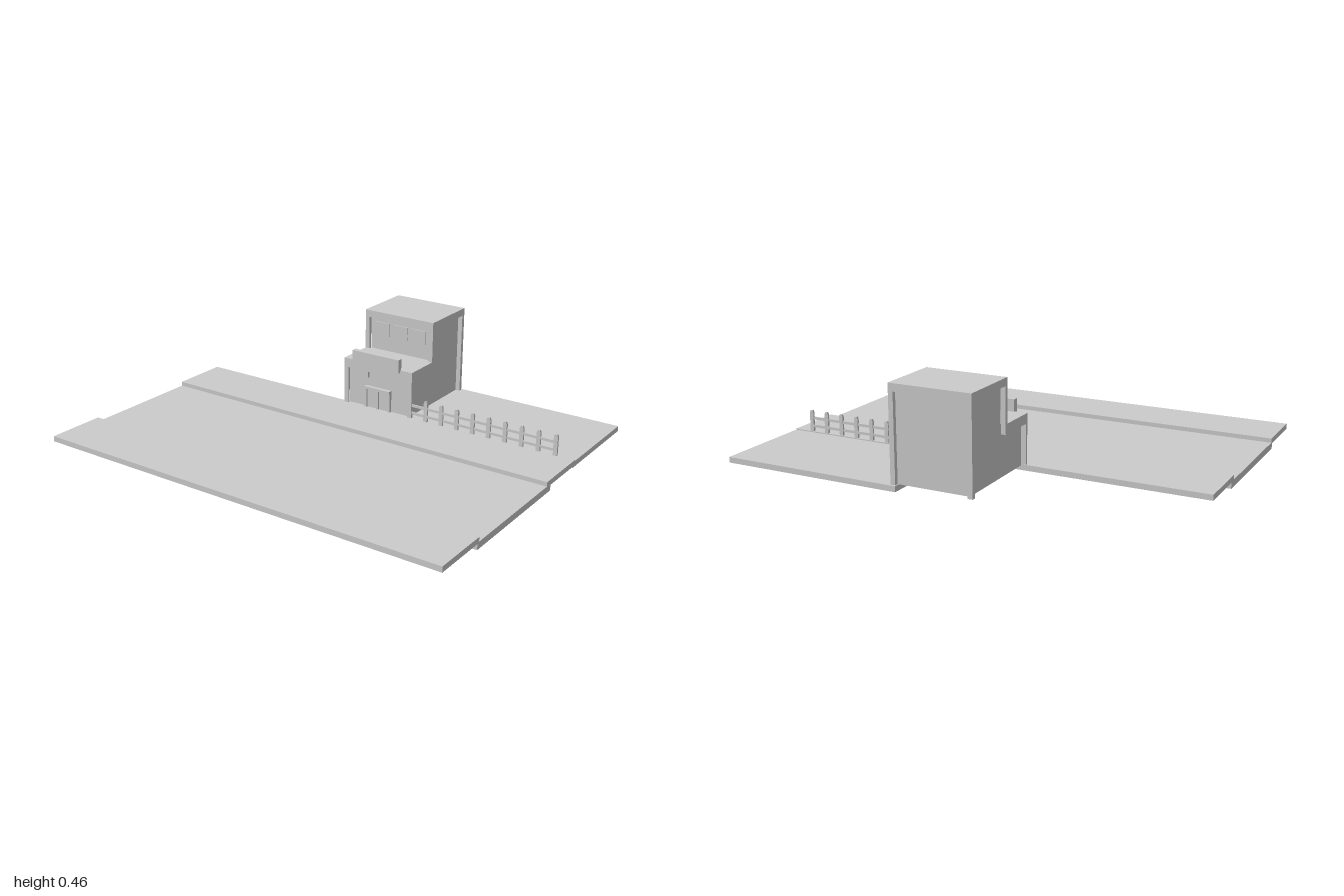
import * as THREE from 'three';

const material = new THREE.MeshStandardMaterial({ color: 0xcccccc, flatShading: true });

// Box given by its lower and upper limits on each axis
function box(parent, name, [x0, x1], [y0, y1], [z0, z1]) {
  const mesh = new THREE.Mesh(new THREE.BoxGeometry(x1 - x0, y1 - y0, z1 - z0), material);
  mesh.position.set((x0 + x1) / 2, (y0 + y1) / 2, (z0 + z1) / 2);
  mesh.name = name;
  parent.add(mesh);
  return mesh;
}

// Side profile (distance towards the back, height) extruded across x
function sideProfile(parent, name, points, x0, x1) {
  const shape = new THREE.Shape(points.map(([b, y]) => new THREE.Vector2(b, y)));
  const geometry = new THREE.ExtrudeGeometry(shape, { depth: x1 - x0, bevelEnabled: false });
  geometry.rotateY(Math.PI / 2);
  const mesh = new THREE.Mesh(geometry, material);
  mesh.position.x = x0;
  mesh.name = name;
  parent.add(mesh);
}

function group(parent, name) {
  const g = new THREE.Group();
  g.name = name;
  parent.add(g);
  return g;
}

export function createModel() {
  const model = new THREE.Group();
  model.name = 'streetScene';

  // Ground slabs
  const ground = group(model, 'ground');
  box(ground, 'road', [-1, 1], [0, 0.03], [-0.085, 0.53]);
  box(ground, 'frontPavement', [-1, 1], [0.025, 0.05], [0.517, 0.785]);
  box(ground, 'backPavement', [-1, 1], [0.025, 0.05], [-0.322, -0.052]);
  box(ground, 'yard', [0.16, 1], [0.02, 0.045], [-0.785, -0.3]);

  // Building: recessed walls inside a projecting frame
  const building = group(model, 'building');
  const W = 0.187, inner = 0.165;
  sideProfile(building, 'walls', [
    [0.322, 0.045], [0.757, 0.045], [0.757, 0.45], [0.502, 0.45], [0.502, 0.25], [0.322, 0.25],
  ], -inner, inner);
  const frame = [
    [0.308, 0.042], [0.32, 0.042], [0.32, 0.228], [0.5, 0.228], [0.5, 0.43], [0.757, 0.43],
    [0.757, 0.042], [0.775, 0.042], [0.775, 0.464], [0.485, 0.464], [0.485, 0.272], [0.308, 0.272],
  ];
  sideProfile(building, 'leftFrame', frame, inner, W);
  sideProfile(building, 'rightFrame', frame, -W, -inner);
  box(building, 'lowerRoof', [-inner, inner], [0.228, 0.272], [-0.51, -0.308]);
  box(building, 'upperRoof', [-inner, inner], [0.43, 0.464], [-0.775, -0.485]);

  // Sign board on the lower roof edge and a small lamp box beneath
  box(building, 'signBoard', [-0.13, 0.124], [0.26, 0.325], [-0.316, -0.292]);
  box(building, 'lampBox', [-0.146, -0.055], [0.197, 0.232], [-0.324, -0.31]);

  // Upper windows
  for (const x of [-0.1, 0, 0.1]) {
    box(building, 'upperWindow', [x - 0.04, x + 0.04], [0.345, 0.41], [-0.505, -0.498]);
  }

  // Double door with frame
  const door = group(building, 'door');
  for (const x of [-0.066, -0.001, 0.064]) {
    box(door, 'doorPost', [x - 0.005, x + 0.005], [0.045, 0.147], [-0.324, -0.308]);
  }
  box(door, 'doorLintel', [-0.071, 0.069], [0.143, 0.155], [-0.324, -0.303]);
  box(door, 'doorLeaves', [-0.066, 0.064], [0.045, 0.145], [-0.324, -0.317]);

  // Fence: pointed pickets on two rails
  const fence = group(model, 'fence');
  const w = 0.0095;
  const picket = new THREE.Shape([
    [-w, 0.045], [w, 0.045], [w, 0.138], [w * 0.5, 0.148], [-w * 0.5, 0.148], [-w, 0.138],
  ].map(([x, y]) => new THREE.Vector2(x, y)));
  const picketGeometry = new THREE.ExtrudeGeometry(picket, { depth: 0.01, bevelEnabled: false });
  for (let i = 0; i < 9; i++) {
    const mesh = new THREE.Mesh(picketGeometry, material);
    mesh.position.set(0.262 + i * 0.081, 0, -0.319);
    mesh.name = 'picket';
    fence.add(mesh);
  }
  for (const y of [0.075, 0.112]) {
    box(fence, 'rail', [0.18, 0.915], [y - 0.006, y + 0.006], [-0.317, -0.311]);
  }
  return model;
}
